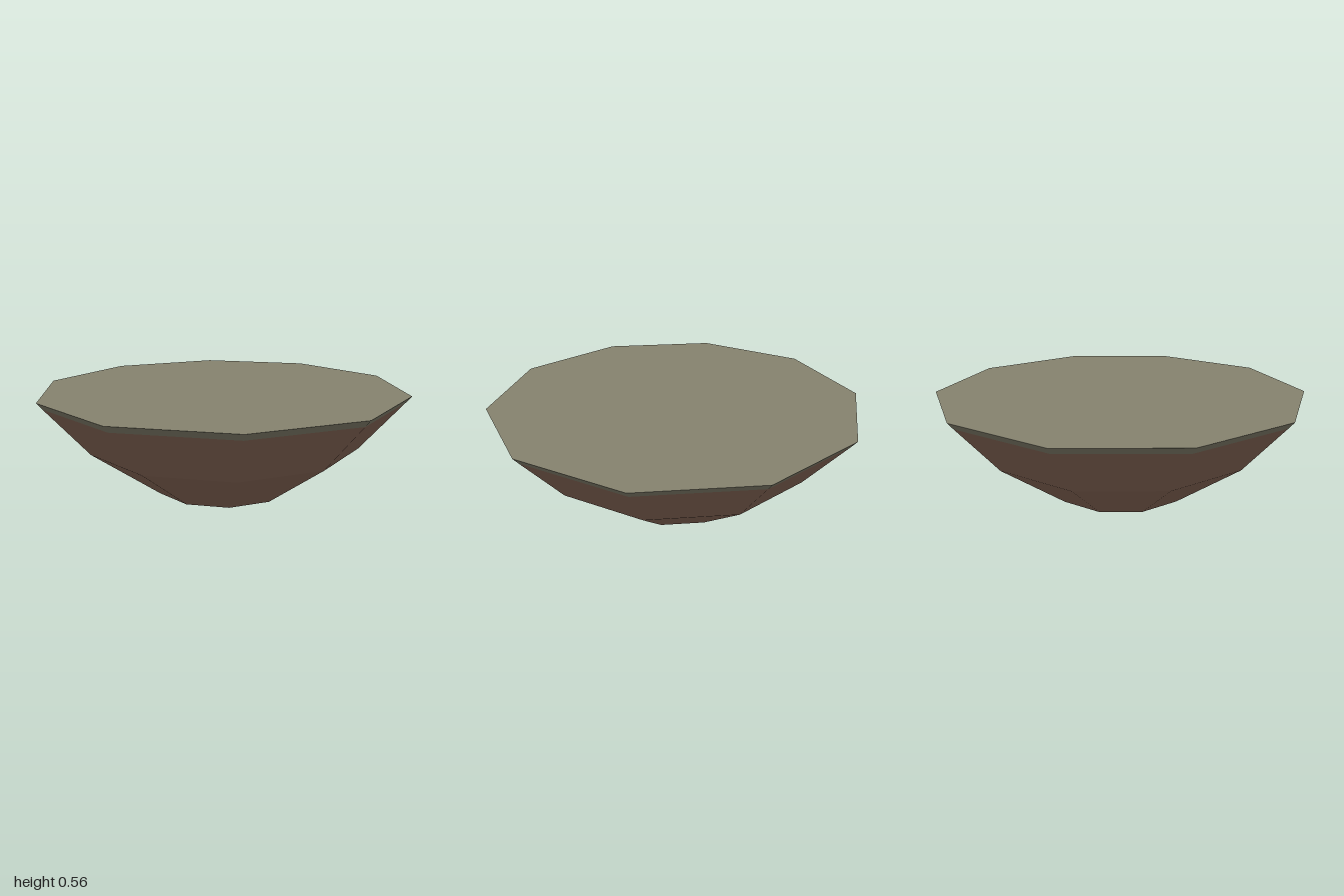
import * as THREE from 'three';

const SIDES = 10;
const TURN = Math.PI / SIDES; // puts a corner on the x axis

export function createModel() {
  const model = new THREE.Group();
  model.name = 'floatingIsland';

  const earth = new THREE.MeshStandardMaterial({ color: 0x8f6d5c, flatShading: true });
  earth.name = 'earth brown';
  const turf = new THREE.MeshStandardMaterial({ color: 0x86836f, flatShading: true });
  turf.name = 'turf grey green';

  // Open ten-sided ring between two heights
  function ring(name, rBottom, rTop, y0, y1, material) {
    const geo = new THREE.CylinderGeometry(rTop, rBottom, y1 - y0, SIDES, 1, true, TURN);
    geo.translate(0, (y0 + y1) / 2, 0);
    const mesh = new THREE.Mesh(geo, material);
    mesh.name = name;
    model.add(mesh);
  }

  // Flat ten-sided cap, facing up or down
  function cap(name, r, y, up, material) {
    const geo = new THREE.CircleGeometry(r, SIDES);
    geo.rotateX(up ? -Math.PI / 2 : Math.PI / 2);
    geo.translate(0, y, 0);
    const mesh = new THREE.Mesh(geo, material);
    mesh.name = name;
    model.add(mesh);
  }

  // Earth body, narrowing towards the base
  cap('base', 0.37, 0, false, earth);
  ring('lowerSlope', 0.37, 0.74, 0, 0.26, earth);
  ring('upperSlope', 0.74, 0.97, 0.26, 0.52, earth);

  // Turf rim and flat top
  ring('turfRim', 0.97, 1, 0.52, 0.555, turf);
  cap('turfTop', 1, 0.555, true, turf);

  return model;
}
